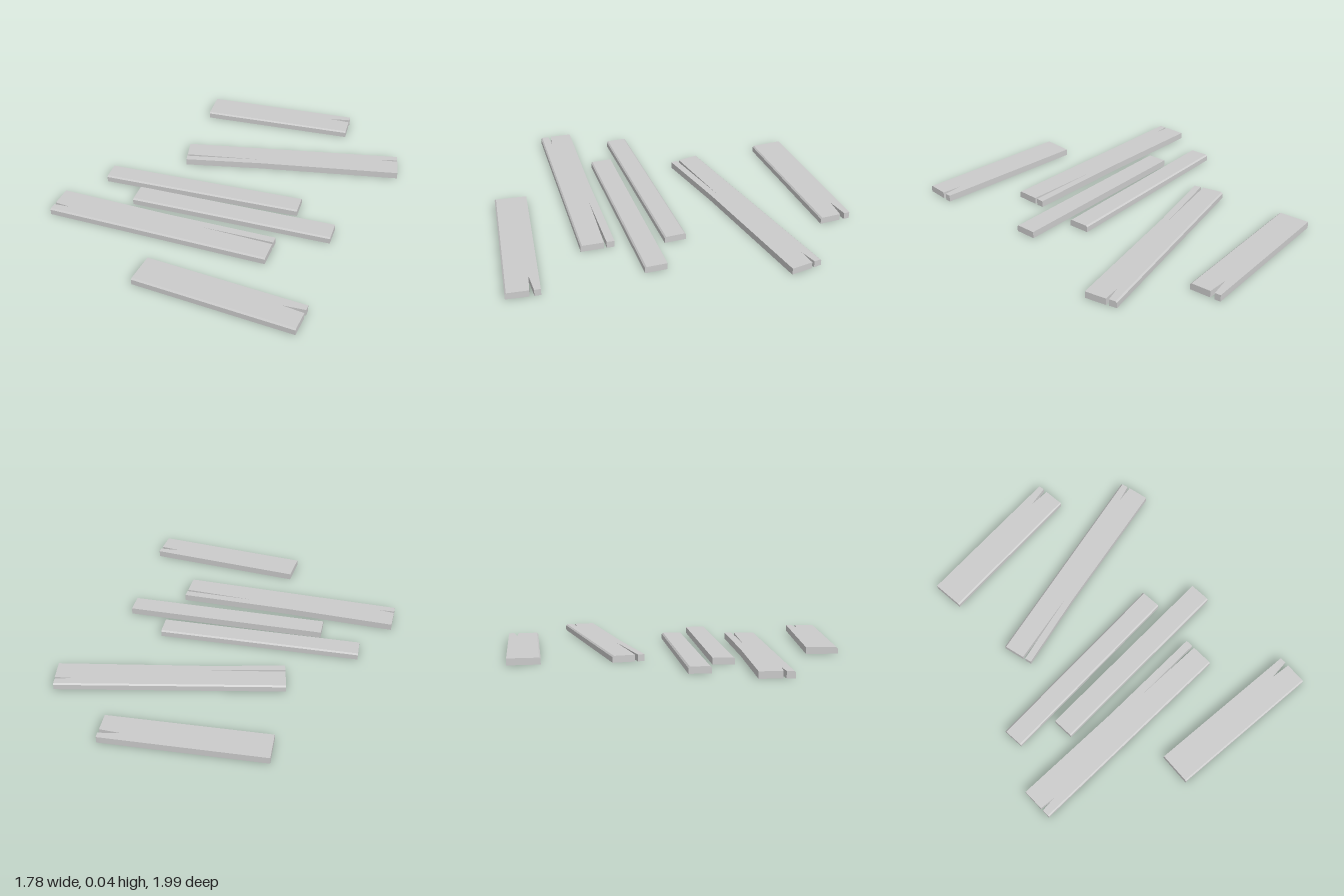
import * as THREE from 'three';

const THICKNESS = 0.038;
const BEVEL = 0.008;

// Each outline runs [x, z] from back left to back right, then round the front.
// Notches are splits in the wood; worn lists the edges (by first point) with a bevelled top.
const PLANKS = [
  { name: 'shortPlankBack', worn: [5], outline: [
    [-0.435, -0.93], [0.465, -1.0], [0.47, -0.967], [0.345, -0.94], [0.47, -0.94],
    [0.48, -0.82], [-0.42, -0.748]] },
  { name: 'longSplitPlank', worn: [0], outline: [
    [-0.4, -0.363], [0.845, -0.658], [0.855, -0.615], [0.757, -0.582], [0.86, -0.6],
    [0.885, -0.48], [0.08, -0.3], [-0.357, -0.187], [-0.367, -0.225], [0.065, -0.337],
    [-0.37, -0.24]] },
  { name: 'narrowPlankBack', worn: [0, 2], outline: [
    [-0.74, 0.017], [0.42, -0.043], [0.427, 0.08], [-0.732, 0.138]] },
  { name: 'narrowPlankFront', worn: [2], outline: [
    [-0.498, 0.17], [0.663, 0.132], [0.667, 0.255], [-0.493, 0.293]] },
  { name: 'wideSplitPlank', worn: [6], outline: [
    [-0.893, 0.352], [-0.25, 0.36], [0.387, 0.352], [0.387, 0.396], [-0.03, 0.403],
    [0.387, 0.411], [0.387, 0.54], [-0.893, 0.54], [-0.893, 0.493], [-0.8, 0.486],
    [-0.893, 0.477]] },
  { name: 'shortPlankFront', worn: [5], outline: [
    [-0.2, 0.743], [0.703, 0.807], [0.703, 0.842], [0.58, 0.851], [0.7, 0.866],
    [0.692, 0.99], [-0.212, 0.926]] },
];

function plankGeometry(outline, worn) {
  const shape = new THREE.Shape(outline.map(([x, z]) => new THREE.Vector2(x, -z)));
  const geometry = new THREE.ExtrudeGeometry(shape, {
    depth: THICKNESS, steps: 5, bevelEnabled: false,
  });
  geometry.rotateX(-Math.PI / 2);

  // Pull the top vertices of each worn edge inwards to form a narrow bevel
  const pos = geometry.attributes.position;
  for (const start of worn) {
    const [ax, az] = outline[start];
    const [bx, bz] = outline[(start + 1) % outline.length];
    const length = Math.hypot(bx - ax, bz - az);
    const nx = -(bz - az) / length;
    const nz = (bx - ax) / length;
    for (let i = 0; i < pos.count; i++) {
      const distance = (pos.getX(i) - ax) * nx + (pos.getZ(i) - az) * nz;
      if (pos.getY(i) > THICKNESS - 0.001 && Math.abs(distance) < 0.001) {
        pos.setX(i, pos.getX(i) + nx * BEVEL);
        pos.setZ(i, pos.getZ(i) + nz * BEVEL);
      }
    }
  }
  geometry.computeVertexNormals();
  return geometry;
}

export function createModel() {
  const group = new THREE.Group();
  group.name = 'scatteredPlanks';
  const wood = new THREE.MeshStandardMaterial({ color: 0xcccccc, flatShading: true });
  for (const { name, outline, worn } of PLANKS) {
    const plank = new THREE.Mesh(plankGeometry(outline, worn), wood);
    plank.name = name;
    group.add(plank);
  }
  return group;
}
